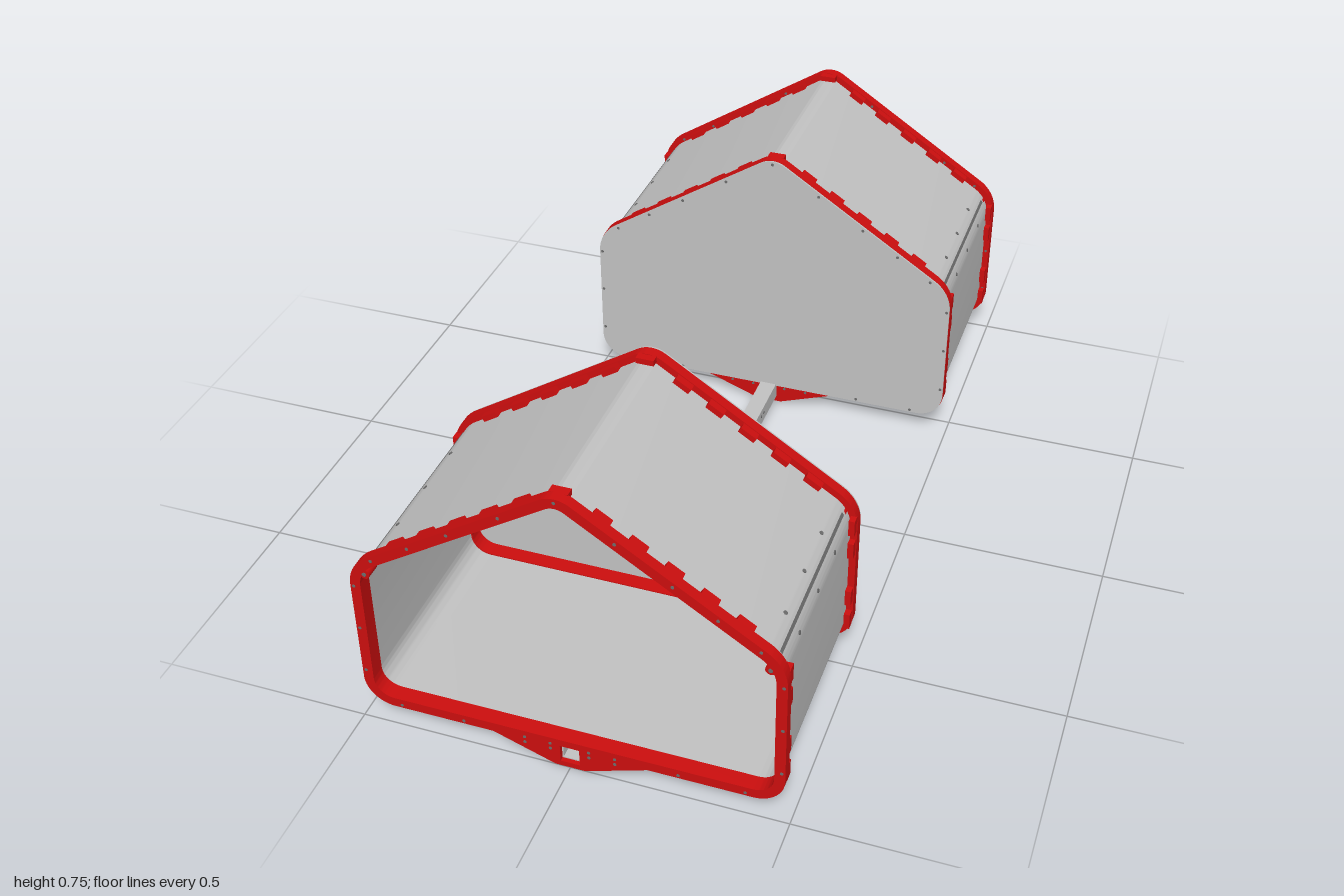
import * as THREE from 'three';
import { toCreasedNormals } from 'three/addons/utils/BufferGeometryUtils.js';

const mat = (name, color) => Object.assign(new THREE.MeshStandardMaterial({ color }), { name });
const SLOPE = 0.645, TILT = Math.atan(SLOPE);

// Rounded polygon from counter-clockwise corners [x, y, radius]
function rounded(corners, target) {
  const n = corners.length;
  corners.forEach(([x, y, r], i) => {
    if (!r) {
      if (i === 0) target.moveTo(x, y); else target.lineTo(x, y);
      return;
    }
    const p = new THREE.Vector2(x, y);
    const u = new THREE.Vector2(...corners[(i + n - 1) % n]).sub(p).normalize();
    const v = new THREE.Vector2(...corners[(i + 1) % n]).sub(p).normalize();
    const half = Math.acos(u.dot(v)) / 2;
    const c = u.clone().add(v).normalize().multiplyScalar(r / Math.sin(half)).add(p);
    const t = r / Math.tan(half);
    const a = p.clone().addScaledVector(u, t).sub(c).angle();
    const b = p.clone().addScaledVector(v, t).sub(c).angle();
    target.absarc(c.x, c.y, r, a, b, false);
  });
  target.closePath();
  return target;
}

// House-shaped outline, inset by d, with an optional tab under the floor
function house(d, target, tab = false) {
  const x = 0.487 - d, low = 0.053 + d;
  const top = 0.762 - d * Math.hypot(1, SLOPE), eave = top - x * SLOPE;
  const pts = [[x, low, 0.07 - d], [x, eave, 0.1 - d], [0, top, 0.06 - d], [-x, eave, 0.1 - d], [-x, low, 0.07 - d]];
  if (tab) pts.push([-0.18, low, 0], [-0.035, 0, 0], [0.035, 0, 0], [0.18, low, 0]);
  return rounded(pts, target);
}

function square(cx, cy, h, target) {
  return rounded([[cx - h, cy - h, 0], [cx + h, cy - h, 0], [cx + h, cy + h, 0], [cx - h, cy + h, 0]], target);
}

function extrude(shape, depth, z, holes = []) {
  shape.holes.push(...holes);
  const g = new THREE.ExtrudeGeometry(shape, { depth, bevelEnabled: false, curveSegments: 12 });
  return toCreasedNormals(g.translate(0, 0, z), 0.6);
}

export function createModel() {
  const red = mat('red frame', 0xcc0e0e);
  const grey = mat('light grey sheet', 0xc2c2c2);
  const dark = mat('dark grey hardware', 0x6c6c6c);
  const model = new THREE.Group();

  const add = (parent, name, geo, material, x = 0, y = 0, z = 0) => {
    const m = new THREE.Mesh(geo, material);
    m.name = name;
    m.position.set(x, y, z);
    parent.add(m);
    return m;
  };
  const box = (w, h, d) => new THREE.BoxGeometry(w, h, d);
  const rod = (r, len, sides = 12) => new THREE.CylinderGeometry(r, r, len, sides);

  // Places along the outline [x, y, angle] at a given inset
  const onWall = (s, y, d) => [s * (0.487 - d), y, Math.PI / 2];
  const onRoof = (s, x, d) => [s * x, 0.762 - d * Math.hypot(1, SLOPE) - x * SLOPE, -s * TILT];
  const onFloor = (s, x, d) => [s * x, 0.053 + d, 0];

  const teeth = [[0, 0.742, 0]], screws = [[0, 0.741, 0]];
  for (const s of [-1, 1]) {
    for (const y of [0.125, 0.195, 0.335, 0.4]) teeth.push(onWall(s, y, 0.009));
    for (let i = 0; i < 5; i++) {
      teeth.push(onRoof(s, 0.085 + 0.075 * i, 0.009));
      teeth.push(onFloor(s, 0.1 + 0.075 * i, 0.009));
    }
    for (const y of [0.145, 0.27, 0.39]) screws.push(onWall(s, y, 0.008));
    for (const x of [0.125, 0.245, 0.34, 0.43]) screws.push(onRoof(s, x, 0.01));
    for (const x of [0.25, 0.4]) screws.push(onFloor(s, x, 0.008));
  }

  function frame(parent, z, dir, name) {
    const g = new THREE.Group();
    g.name = name;
    parent.add(g);
    // Flange with its tab and the square socket for the beam
    add(g, 'flange', extrude(house(0, new THREE.Shape(), true), 0.026, z - 0.013,
      [house(0.022, new THREE.Path()), square(0, 0.036, 0.0225, new THREE.Path())]), red);
    // Lip inside the shell
    add(g, 'innerLip', extrude(house(0.021, new THREE.Shape()), 0.038, z - 0.019 + dir * 0.006,
      [house(0.024, new THREE.Path())]), red);
    // Fingers gripping the shell from outside
    for (const [x, y, a] of teeth) add(g, 'finger', box(0.042, 0.014, 0.022), red, x, y, z + dir * 0.021).rotation.z = a;
    // Sleeve around the beam
    add(g, 'beamSleeve', extrude(square(0, 0.037, 0.033, new THREE.Shape()), 0.075, z + (dir > 0 ? 0.008 : -0.083),
      [square(0, 0.036, 0.0225, new THREE.Path())]), red);
    // Bosses at the eaves
    for (const s of [-1, 1]) {
      add(g, 'eaveBoss', rod(0.012, 0.036, 20), red, s * 0.45, 0.43, z + dir * 0.006).rotation.x = Math.PI / 2;
      add(g, 'bossPin', rod(0.005, 0.04), dark, s * 0.45, 0.43, z + dir * 0.006).rotation.x = Math.PI / 2;
      for (const [x, y] of [[0.045, 0.045], [0.105, 0.045], [0.105, 0.06], [0.045, 0.06]])
        add(g, 'tabScrew', rod(0.004, 0.028, 8), dark, s * x, y, z).rotation.x = Math.PI / 2;
    }
  }

  for (const [name, turn] of [['frontHousing', 0], ['backHousing', Math.PI]]) {
    const h = new THREE.Group();
    h.name = name;
    h.rotation.y = turn;
    model.add(h);

    // Thin folded shell and the panel that closes its inner end
    add(h, 'shell', extrude(house(0.016, new THREE.Shape()), 0.53, 0.455, [house(0.021, new THREE.Path())]), grey);
    add(h, 'endPanel', extrude(house(0.001, new THREE.Shape()), 0.005, 0.441), grey);
    frame(h, 0.459, 1, 'innerFrame');
    frame(h, 0.987, -1, 'outerFrame');
    for (const [x, y] of screws) {
      add(h, 'frameScrew', rod(0.004, 0.028, 8), dark, x, y, 0.987).rotation.x = Math.PI / 2;
      add(h, 'panelScrew', rod(0.004, 0.006, 8), dark, x, y, 0.443).rotation.x = Math.PI / 2;
    }

    // Seam and rivets along each eave
    for (const s of [-1, 1]) {
      const at = a => [s * (0.387 + 0.084 * Math.cos(a)), 0.393 + 0.084 * Math.sin(a)];
      add(h, 'eaveSeam', box(0.003, 0.008, 0.46), dark, ...at(0.59), 0.723).rotation.z = s * 0.59;
      for (const a of [0.26, 0.93]) for (const z of [0.595, 0.725, 0.86])
        add(h, 'rivet', rod(0.005, 0.004, 8), dark, ...at(a), z).rotation.z = s * (a - Math.PI / 2);
    }

    // Hollow straight half of the beam
    add(h, 'beam', extrude(square(0, 0.0365, 0.022, new THREE.Shape()), 0.785, 0.205,
      [square(0, 0.0365, 0.019, new THREE.Path())]), grey);
    add(h, 'beamBolt', rod(0.006, 0.038), dark, 0, 0.035, 0.23);
    add(h, 'beamBoltHead', rod(0.013, 0.01, 6), dark, 0, 0.044, 0.23);
    for (const z of [0.31, 0.33])
      add(h, 'beamPin', rod(0.004, 0.046, 8), dark, 0, 0.04, z).rotation.z = Math.PI / 2;

    // Clamp across the sloping part of the beam
    const clamp = new THREE.Group();
    clamp.name = 'clamp';
    clamp.position.set(0, 0.083, 0.152);
    clamp.rotation.x = 0.69;
    h.add(clamp);
    add(clamp, 'clampBlock', box(0.046, 0.026, 0.028), grey, 0, 0.033, 0.026);
    add(clamp, 'clampNut', rod(0.011, 0.014, 6), dark, 0, 0.05, 0.026);
    add(clamp, 'clampFoot', box(0.04, 0.014, 0.03), grey, 0, -0.03, 0);
    add(clamp, 'clampScrew', rod(0.008, 0.05), grey, 0, -0.042, 0);
    add(clamp, 'clampKnob', rod(0.014, 0.01, 6), dark, 0, -0.064, 0);
  }

  // Raised bridge joining both halves of the beam
  const bridge = new THREE.Shape([[0.21, 0.0145], [0.21, 0.0585], [0.055, 0.18], [-0.055, 0.18], [-0.21, 0.0585],
    [-0.21, 0.0145], [-0.195, 0.0145], [-0.045, 0.132], [0.045, 0.132], [0.195, 0.0145]].map(p => new THREE.Vector2(...p)));
  add(model, 'bridge', extrude(bridge, 0.044, -0.022).rotateY(Math.PI / 2), grey);
  add(model, 'bridgeHub', rod(0.046, 0.044, 32), grey, 0, 0.148, 0).rotation.z = Math.PI / 2;
  add(model, 'hubPin', rod(0.008, 0.05), dark, 0, 0.15, 0).rotation.z = Math.PI / 2;
  for (const z of [-0.07, 0.07])
    add(model, 'bridgePin', rod(0.004, 0.047, 8), dark, 0, 0.145, z).rotation.z = Math.PI / 2;

  return model;
}
